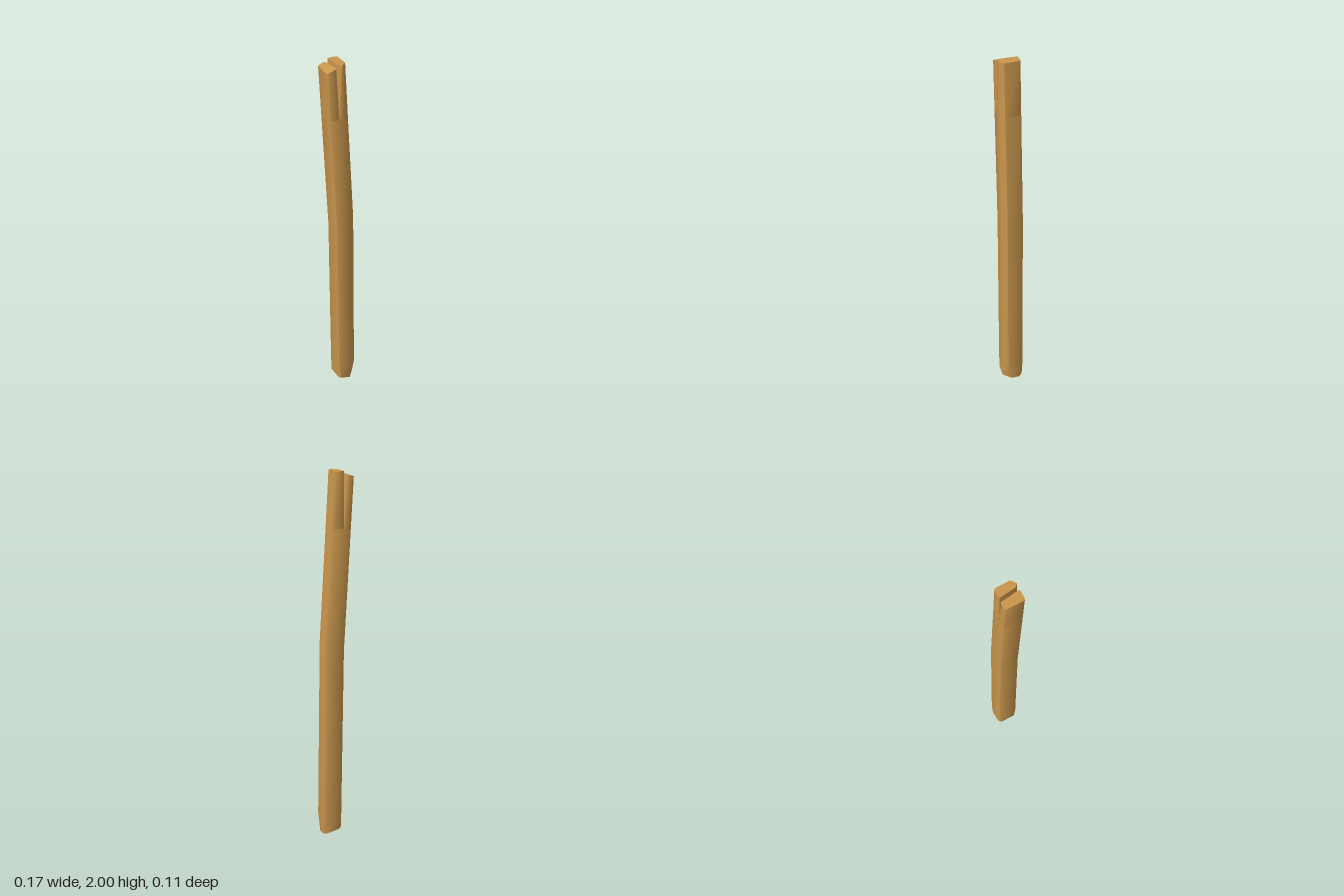
import * as THREE from 'three';
import { toCreasedNormals } from 'three/addons/utils/BufferGeometryUtils.js';

const FRONT = 0.055, BACK = -0.055;

// Cross-section of four chamfered corners. left/right are [front x, back x];
// chamfers are [x, z] cuts for front-left, front-right, back-right, back-left.
// y is [height at the left side, height at the right side].
function section(y, left, right, [fl, fr, br, bl]) {
  const points = [
    [left[0], FRONT - fl[1], 0], [left[0] + fl[0], FRONT, 0],
    [right[0] - fr[0], FRONT, 1], [right[0], FRONT - fr[1], 1],
    [right[1], BACK + br[1], 1], [right[1] - br[0], BACK, 1],
    [left[1] + bl[0], BACK, 0], [left[1], BACK + bl[1], 0],
  ];
  const x0 = Math.min(...left), x1 = Math.max(...right);
  return points.map(([x, z]) =>
    new THREE.Vector3(x, y[0] + (y[1] - y[0]) * (x - x0) / (x1 - x0), z));
}

// Skin a stack of sections and close both ends
function loft(rings) {
  const pos = [], n = rings[0].length;
  const tri = (a, b, c) => [a, b, c].forEach(p => pos.push(p.x, p.y, p.z));
  for (let r = 0; r < rings.length - 1; r++) {
    for (let i = 0; i < n; i++) {
      const j = (i + 1) % n, low = rings[r], high = rings[r + 1];
      tri(low[i], low[j], high[j]);
      tri(low[i], high[j], high[i]);
    }
  }
  const first = rings[0], last = rings[rings.length - 1];
  for (let i = 1; i < n - 1; i++) {
    tri(first[0], first[i + 1], first[i]);
    tri(last[0], last[i], last[i + 1]);
  }
  const geometry = new THREE.BufferGeometry();
  geometry.setAttribute('position', new THREE.Float32BufferAttribute(pos, 3));
  return toCreasedNormals(geometry, 0.8);
}

export function createModel() {
  const group = new THREE.Group();
  const wood = new THREE.MeshStandardMaterial({ color: 0xc8954c });
  const add = (name, rings) => {
    const mesh = new THREE.Mesh(loft(rings), wood);
    mesh.name = name;
    group.add(mesh);
  };

  const both = x => [x, x];
  const sharp = [0.001, 0.001], small = [0.004, 0.004];
  const back = [0.01, 0.01], wide = [0.025, 0.021];
  const edges = [small, wide, back, back];

  // Bent plank with a slanted, chipped foot
  add('plank', [
    section([0.025, 0], both(-0.02), both(0.083), [[0.012, 0.012], [0.035, 0.045], [0.02, 0.02], [0.015, 0.015]]),
    section([0.1, 0.1], both(-0.021), both(0.086), edges),
    section([1.04, 1.08], both(-0.035), both(0.074), edges),
    section([1.7, 1.7], both(-0.0726), both(0.0385), edges),
  ]);

  // Two prongs parted by a narrow slanted split
  add('rightProng', [
    section([1.7, 1.7], both(-0.0726), [-0.02, -0.03], [small, sharp, sharp, back]),
    section([1.97, 1.988], both(-0.088), [-0.036, -0.047], [small, [0.006, 0.006], small, back]),
  ]);
  add('leftProng', [
    section([1.7, 1.7], [-0.02, -0.03], both(0.0385), [sharp, wide, back, sharp]),
    section([2, 2], [-0.022, -0.032], both(0.022), [[0.015, 0.016], wide, back, small]),
  ]);

  return group;
}
